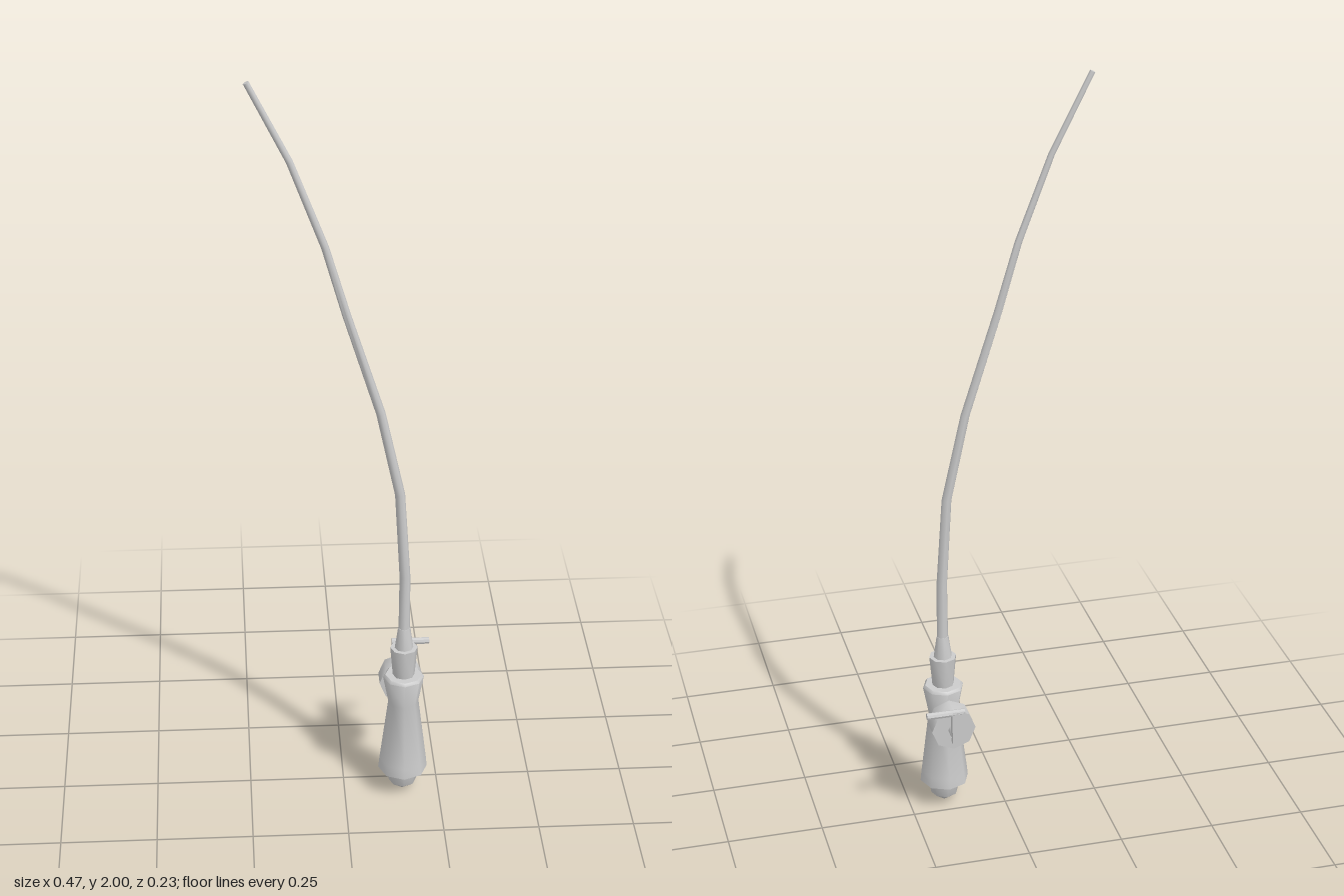
import * as THREE from 'three';
import { toCreasedNormals } from 'three/addons/utils/BufferGeometryUtils.js';

const SIDES = 8;
const AXIS_X = 0.155, AXIS_Z = 0.053, REEL_Y = 0.29;

export function createModel() {
  const model = new THREE.Group();
  const material = new THREE.MeshStandardMaterial({ color: 0xcccccc });

  function add(name, geometry, x = 0, y = 0, z = 0, parent = model) {
    const mesh = new THREE.Mesh(toCreasedNormals(geometry, 0.87), material);
    mesh.name = name;
    mesh.position.set(x, y, z);
    parent.add(mesh);
    return mesh;
  }

  // Turned parts of the handle: [radius, height] from bottom to top
  const turned = {
    pommel: [[0, 0], [0.036, 0.028], [0.043, 0.075], [0, 0.075]],
    grip: [[0, 0.07], [0.065, 0.07], [0.062, 0.1], [0.04, 0.28], [0.054, 0.355], [0.048, 0.362], [0, 0.362]],
    collar: [[0, 0.355], [0.028, 0.355], [0.036, 0.445], [0, 0.445]],
    ferrule: [[0, 0.44], [0.025, 0.44], [0.016, 0.505], [0, 0.505]],
  };
  for (const [name, profile] of Object.entries(turned)) {
    const points = profile.map(([r, y]) => new THREE.Vector2(r, y));
    add(name, new THREE.LatheGeometry(points, SIDES), AXIS_X, 0, AXIS_Z);
  }

  // Bent, tapering rod: each ring of a cylinder moves to a point on the path
  const path = [[0.155, 0.49], [0.155, 0.66], [0.14, 0.9], [0.09, 1.13],
    [0.005, 1.4], [-0.047, 1.58], [-0.13, 1.8], [-0.229, 1.997]];
  const last = path.length - 1;
  const rod = new THREE.CylinderGeometry(1, 1, last, SIDES, last);
  const pos = rod.attributes.position;
  for (let i = 0; i < pos.count; i++) {
    const k = Math.round(pos.getY(i) + last / 2);
    const a = path[Math.max(k - 1, 0)], b = path[Math.min(k + 1, last)];
    const tilt = Math.atan2(a[0] - b[0], b[1] - a[1]);
    const r = THREE.MathUtils.lerp(0.015, 0.0075, k / last);
    const across = pos.getX(i) * r;
    pos.setXYZ(i, path[k][0] + across * Math.cos(tilt),
      path[k][1] + across * Math.sin(tilt), AXIS_Z + pos.getZ(i) * r);
  }
  add('rod', rod);

  // Reel on the back of the grip, its axis along z
  const reel = new THREE.Group();
  reel.name = 'reel';
  reel.position.set(AXIS_X, REEL_Y, 0);
  model.add(reel);
  const disc = (name, radius, z0, z1) => add(name,
    new THREE.CylinderGeometry(radius, radius, z1 - z0, SIDES).rotateX(Math.PI / 2),
    0, 0, (z0 + z1) / 2, reel);
  disc('reelMount', 0.021, -0.02, 0.04);
  disc('reelDrum', 0.058, -0.066, -0.014);
  disc('crankAxle', 0.015, -0.1, -0.06);

  // Crank: upright arm and sideways handle
  add('crankArm', new THREE.BoxGeometry(0.034, 0.092, 0.017), -0.003, 0.032, -0.103, reel);
  add('crankHandle', new THREE.CylinderGeometry(0.009, 0.009, 0.1, SIDES).rotateZ(Math.PI / 2),
    0.03, 0.074, -0.103, reel);

  return model;
}
